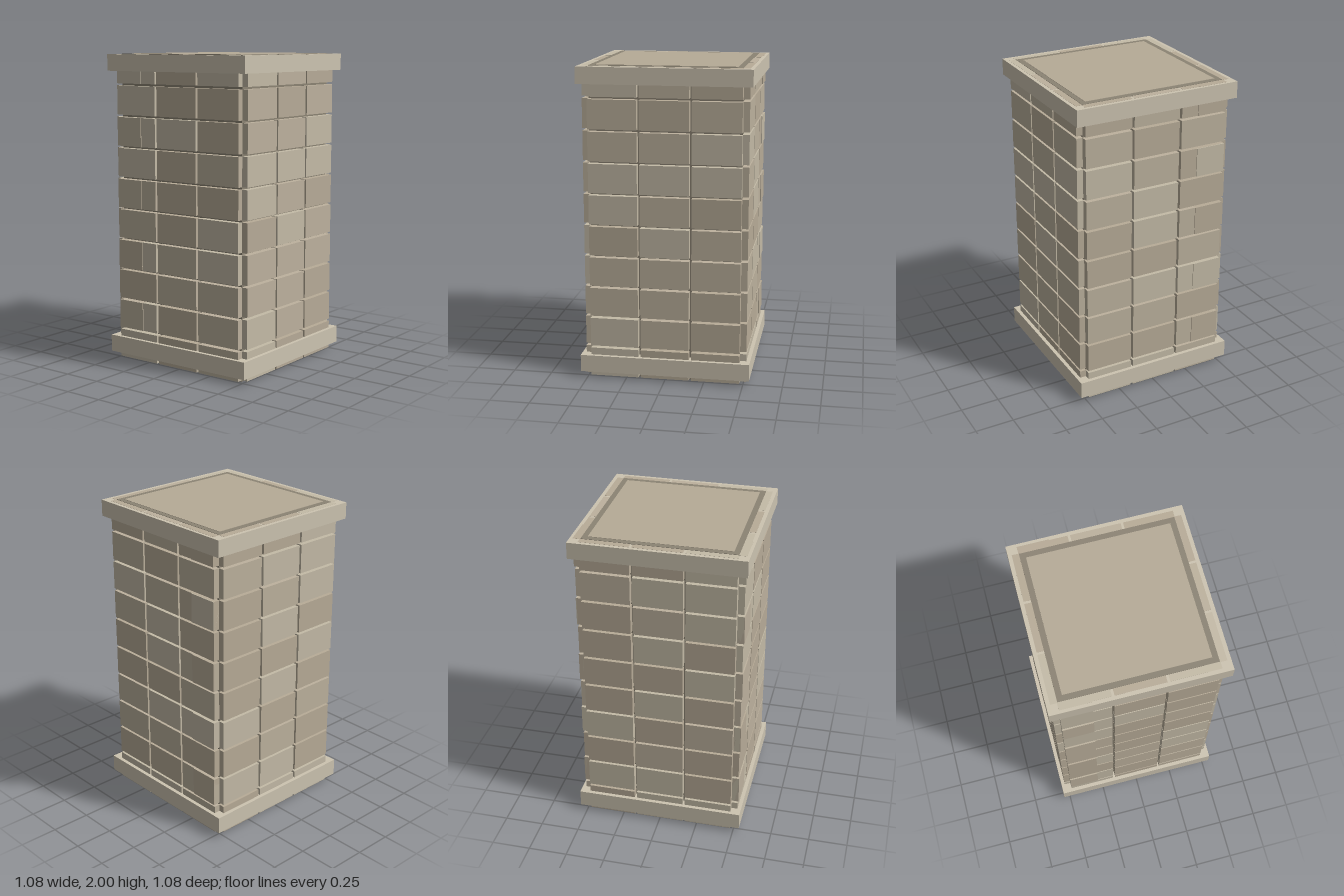
import * as THREE from 'three';

const paint = (color) => new THREE.MeshStandardMaterial({ color });
const mortarMat = paint(0x8c8474);
const trimMat = paint(0xcdc4b1);
const panelMat = paint(0xb6ab97);
const brickMats = [0xc4bba7, 0xbdb29e, 0xb8ac98].map(paint);

// box given by its lower and upper corners
function block(name, material, [x0, y0, z0], [x1, y1, z1]) {
  const mesh = new THREE.Mesh(new THREE.BoxGeometry(x1 - x0, y1 - y0, z1 - z0), material);
  mesh.position.set((x0 + x1) / 2, (y0 + y1) / 2, (z0 + z1) / 2);
  mesh.name = name;
  return mesh;
}

// small seeded generator for the brick tints
function seeded(seed) {
  return () => (seed = (seed * 16807) % 2147483647) / 2147483647;
}

export function createModel() {
  const pillar = new THREE.Group();
  pillar.name = 'brickPillar';
  const random = seeded(4217);
  const tint = () => brickMats[Math.floor(random() * brickMats.length)];

  const CORE = 0.475, FACE = 0.518, ROWS = 10, ROW = 0.2;
  const columns = [[-0.478, -0.17], [-0.155, 0.155], [0.17, 0.478]];

  // mortar core, visible in the joints, on top and underneath
  pillar.add(block('mortarCore', mortarMat, [-CORE, 0, -CORE], [CORE, 1.998, CORE]));

  // four brick walls; front and back have an extra half brick in every other row
  ['front', 'left', 'back', 'right'].forEach((side, s) => {
    const wall = new THREE.Group();
    wall.name = side + 'Bricks';
    wall.rotation.y = s * Math.PI / 2;
    for (let row = 0; row < ROWS; row++) {
      const y0 = row * ROW + 0.011, y1 = (row + 1) * ROW - 0.004;
      for (const [x0, x1] of columns) {
        wall.add(block('brick', tint(), [x0, y0, 0.455], [x1, y1, FACE]));
      }
      if (row % 2 === 1 && s % 2 === 0) {
        // the half brick sits toward -x on both faces
        const [x0, x1] = s === 0 ? [-0.478, -0.283] : [0.283, 0.478];
        wall.add(block('halfBrick', tint(), [x0, y0, 0.46], [x1, y1, FACE + 0.005]));
      }
    }
    pillar.add(wall);
  });

  // projecting bands at the foot and the head
  const TRIM = 0.542;
  pillar.add(block('baseBand', trimMat, [-TRIM, 0.04, -TRIM], [TRIM, 0.15, TRIM]));
  pillar.add(block('capBand', trimMat, [-TRIM, 1.89, -TRIM], [TRIM, 1.995, TRIM]));

  // inset panel on the top
  pillar.add(block('topPanel', panelMat, [-0.44, 1.96, -0.44], [0.44, 2, 0.44]));

  return pillar;
}
